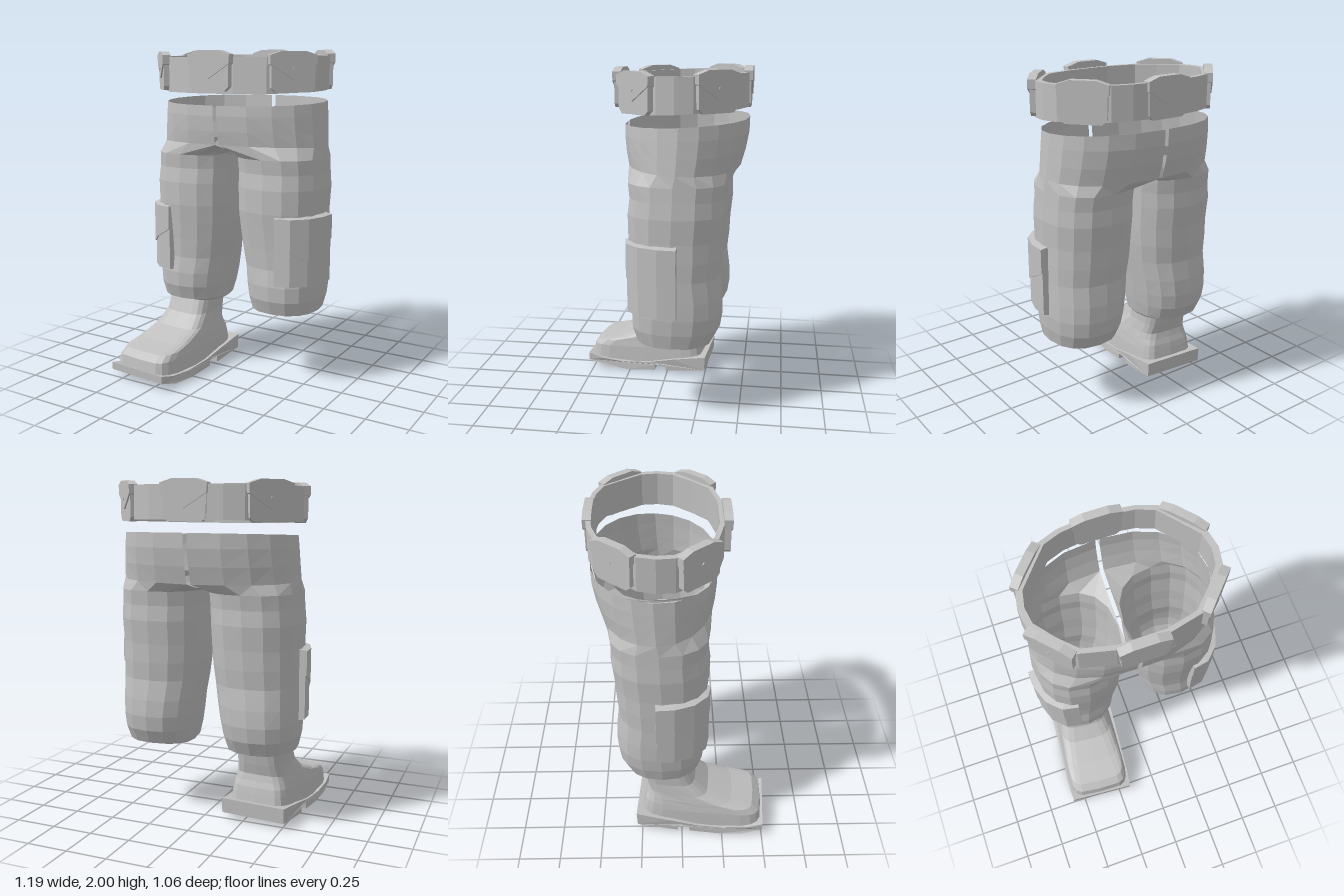
import * as THREE from 'three';

const grey = new THREE.MeshStandardMaterial({ color: 0xc0c0c0, side: THREE.DoubleSide });
grey.name = 'plain grey';

// Faceted skin over rows of points, listed top to bottom, each running front -> +x -> back.
function loft(rows, closed, skip = () => false) {
  const pos = [];
  const n = rows[0].length;
  const tri = (...t) => {
    const [a, b, c] = t.map((p) => new THREE.Vector3(...p));
    if (b.sub(a).cross(c.sub(a)).length() > 1e-9) pos.push(...t.flat());
  };
  for (let i = 0; i < rows.length - 1; i++) {
    for (let j = 0; j < (closed ? n : n - 1); j++) {
      if (skip(i, j)) continue;
      const k = (j + 1) % n;
      tri(rows[i][j], rows[i + 1][j], rows[i + 1][k]);
      tri(rows[i][j], rows[i + 1][k], rows[i][k]);
    }
  }
  const geo = new THREE.BufferGeometry();
  geo.setAttribute('position', new THREE.Float32BufferAttribute(pos, 3));
  geo.computeVertexNormals();
  return geo;
}

// Mirrored copy across x = 0 with the corner order kept outward.
function mirror(geo) {
  const rows = geo.getAttribute('position').array;
  const pos = [];
  for (let i = 0; i < rows.length; i += 9) {
    for (const k of [0, 6, 3]) pos.push(-rows[i + k], rows[i + k + 1], rows[i + k + 2]);
  }
  const out = new THREE.BufferGeometry();
  out.setAttribute('position', new THREE.Float32BufferAttribute(pos, 3));
  out.computeVertexNormals();
  return out;
}

function add(parent, name, geo) {
  const mesh = new THREE.Mesh(geo, grey);
  mesh.name = name;
  parent.add(mesh);
  return mesh;
}

const pw = (v, e) => Math.sign(v) * Math.abs(v) ** e;
const mix = THREE.MathUtils.lerp;

// Trouser half: an open hip shell that closes into a leg tube at the crotch.
function trouserLeg() {
  const rows = [];
  // y front, y back, x outer, z front, z back
  const hips = [
    [1.68, 1.715, 0.52, 0.212, -0.51], [1.62, 1.63, 0.527, 0.214, -0.508],
    [1.53, 1.53, 0.535, 0.205, -0.49], [1.45, 1.43, 0.543, 0.19, -0.462],
  ];
  for (const [yf, yb, xo, zf, zb] of hips) {
    const row = [];
    for (let j = 0; j < 16; j++) {
      if (j <= 10) {
        const a = (Math.PI * j) / 10;
        const t = (1 - Math.cos(a)) / 2;
        row.push([0.012 + (xo - 0.012) * pw(Math.sin(a), 0.85), mix(yf, yb, t), mix(zf, zb, t)]);
      } else {
        const t = (j - 10) / 6; // crotch saddle running back to front
        row.push([0.012, mix(yb, yf, t) - 0.06 * Math.sin(Math.PI * t), mix(zb, zf, t)]);
      }
    }
    rows.push(row);
  }
  // y, x inner, x outer, z front, z back
  const leg = [
    [1.375, 0.018, 0.548, 0.165, -0.412], [1.29, 0.022, 0.553, 0.155, -0.4],
    [1.2, 0.024, 0.56, 0.166, -0.405], [1.06, 0.028, 0.555, 0.163, -0.39],
    [0.95, 0.036, 0.556, 0.15, -0.385], [0.84, 0.05, 0.555, 0.138, -0.373],
    [0.72, 0.07, 0.556, 0.13, -0.388], [0.62, 0.085, 0.556, 0.142, -0.392],
    [0.53, 0.1, 0.548, 0.138, -0.378], [0.445, 0.118, 0.53, 0.108, -0.335],
    [0.43, 0.128, 0.49, 0.06, -0.285],
  ];
  for (const [y, xi, xo, zf, zb] of leg) {
    const row = [];
    for (let j = 0; j < 16; j++) {
      const a = ((j - 1) * Math.PI) / 8;
      row.push([
        (xi + xo) / 2 + ((xo - xi) / 2) * pw(Math.sin(a), 0.85), y,
        (zf + zb) / 2 + ((zf - zb) / 2) * pw(Math.cos(a), 0.85),
      ]);
    }
    rows.push(row);
  }
  return loft(rows, true, (i, j) => i < 3 && j >= 10);
}

// Slab wrapped around the leg; bottomY gives its lower edge along the arc.
function wrapSlab(offset, depth, topY, bottomY) {
  const arc = [[0.365, 0.13], [0.45, 0.115], [0.515, 0.05], [0.55, -0.05], [0.555, -0.15]];
  const cols = arc.map(([x, z], i) => {
    const p = arc[Math.max(i - 1, 0)], q = arc[Math.min(i + 1, 4)];
    const d = Math.hypot(q[0] - p[0], q[1] - p[1]);
    const nx = -(q[1] - p[1]) / d, nz = (q[0] - p[0]) / d;
    const at = (o, y) => [x + nx * o, y, z + nz * o];
    const b = bottomY(i / 4);
    return [at(offset, topY), at(offset + depth, topY - 0.012), at(offset + depth, b + 0.01), at(offset, b)];
  });
  cols.unshift(Array(4).fill(cols[0][0]));
  cols.push(Array(4).fill(cols[5][0]));
  return loft([0, 1, 2, 3].map((r) => cols.map((c) => c[r])), false);
}

// Belt: a faceted band, slightly higher at the back.
function belt() {
  const half = [[0.14, 0.235], [0.33, 0.19], [0.43, 0.09], [0.525, -0.03], [0.54, -0.13],
    [0.52, -0.23], [0.42, -0.35], [0.33, -0.455], [0.22, -0.495], [0.1, -0.51]];
  const loop = [...half, ...half.slice().reverse().map(([x, z]) => [-x, z])];
  const ring = (s, top) => loop.map(([x, z]) => {
    const t = (0.235 - z) / 0.745;
    return [x * s, top ? mix(1.955, 1.975, t) : mix(1.75, 1.785, t), -0.135 + (z + 0.135) * s];
  });
  return loft([ring(1, true), ring(1, false), ring(0.93, false), ring(0.93, true), ring(1, true)], true);
}

function slab(points, depth) {
  const shape = new THREE.Shape(points.map(([x, y]) => new THREE.Vector2(x, y)));
  return new THREE.ExtrudeGeometry(shape, { depth, bevelEnabled: false });
}

// Belt pouch with a pointed flap; its back lies on z = 0.
function pouch(snap) {
  const g = new THREE.Group();
  g.name = 'beltPouch';
  add(g, 'pouchBody', slab([[-0.1, -0.115], [0.1, -0.115], [0.128, -0.09], [0.132, 0.09],
    [0.07, 0.11], [-0.07, 0.11], [-0.132, 0.09], [-0.128, -0.09]], 0.04));
  add(g, 'pouchFlap', slab([[0, -0.045], [0.138, 0.04], [0.14, 0.092], [0.07, 0.114],
    [-0.07, 0.114], [-0.14, 0.092], [-0.138, 0.04]], 0.049));
  if (snap) {
    const s = add(g, 'pouchSnap', new THREE.CylinderGeometry(0.01, 0.01, 0.006, 8));
    s.rotation.x = Math.PI / 2;
    s.position.set(0, 0.015, 0.051);
  }
  return g;
}

function boot() {
  const g = new THREE.Group();
  g.name = 'boot';
  // y front, y back, z front, z back, half width front, half width back
  const spec = [
    [0.45, 0.45, 0.045, -0.24, 0.15, 0.15], [0.34, 0.35, 0.09, -0.218, 0.155, 0.15],
    [0.265, 0.285, 0.17, -0.2, 0.175, 0.158], [0.212, 0.245, 0.32, -0.21, 0.188, 0.17],
    [0.185, 0.21, 0.455, -0.222, 0.192, 0.178], [0.15, 0.17, 0.5, -0.23, 0.2, 0.185],
    [0.085, 0.12, 0.51, -0.238, 0.208, 0.192],
  ];
  const rows = spec.map(([yf, yb, zf, zb, wf, wb], r) => {
    const e = mix(0.6, 0.35, Math.min(r / 4, 1)); // rounder at the shaft, squarer at the foot
    return Array.from({ length: 20 }, (_, j) => {
      const a = (j * Math.PI) / 10;
      const t = (1 - pw(Math.cos(a), e)) / 2;
      const dip = r > 5 ? 0.045 * Math.sin(Math.PI * t) : 0;
      return [mix(wf, wb, t) * pw(Math.sin(a), e), mix(yf, yb, t) - dip, mix(zf, zb, t)];
    });
  });
  add(g, 'bootUpper', loft(rows, true));
  // Sole: side profile with a heel step, drawn as (z, y)
  const sole = slab([[-0.265, 0.037], [-0.01, 0.016], [-0.01, 0.055], [0.06, 0.052], [0.065, 0.015],
    [0.25, 0.001], [0.4, 0.012], [0.52, 0.045], [0.522, 0.092], [0.42, 0.067], [0.28, 0.055],
    [0.1, 0.068], [-0.06, 0.1], [-0.27, 0.128]], 0.425);
  sole.translate(0, 0, -0.2125).rotateY(-Math.PI / 2);
  // Narrow the sole toward the heel and round in the toe and heel corners
  const p = sole.getAttribute('position');
  for (let i = 0; i < p.count; i++) {
    const z = p.getZ(i);
    p.setX(i, p.getX(i) * (z > 0.5 ? 0.95 : z < -0.2 ? 0.94 : 1));
  }
  sole.computeVertexNormals();
  add(g, 'bootSole', sole);
  g.position.set(-0.335, 0, 0);
  g.rotation.y = -0.08;
  return g;
}

export function createModel() {
  const model = new THREE.Group();
  model.name = 'trousersBeltAndBoot';

  const parts = {
    TrouserLeg: trouserLeg(),
    CargoPocket: wrapSlab(-0.02, 0.053, 1.045, () => 0.63),
    CargoFlap: wrapSlab(-0.02, 0.06, 1.055, (t) => 0.78 + 0.11 * Math.abs(t - 0.5) * 2),
  };
  for (const [name, geo] of Object.entries(parts)) {
    add(model, 'left' + name, geo);
    add(model, 'right' + name, mirror(geo));
  }

  add(model, 'belt', belt());
  // x, y, z and facing of each pouch
  const places = [[0, 1.88, 0.232, 0], [0, 1.89, -0.475, Math.PI]];
  for (const s of [1, -1]) {
    places.push([s * 0.423, 1.875, 0.077, s * 0.83], [s * 0.413, 1.885, -0.332, s * (Math.PI - 0.85)]);
  }
  for (const [x, y, z, turn] of places) {
    const p = pouch(x !== 0);
    p.position.set(x, y, z);
    p.rotation.y = turn;
    model.add(p);
  }

  model.add(boot());
  return model;
}
